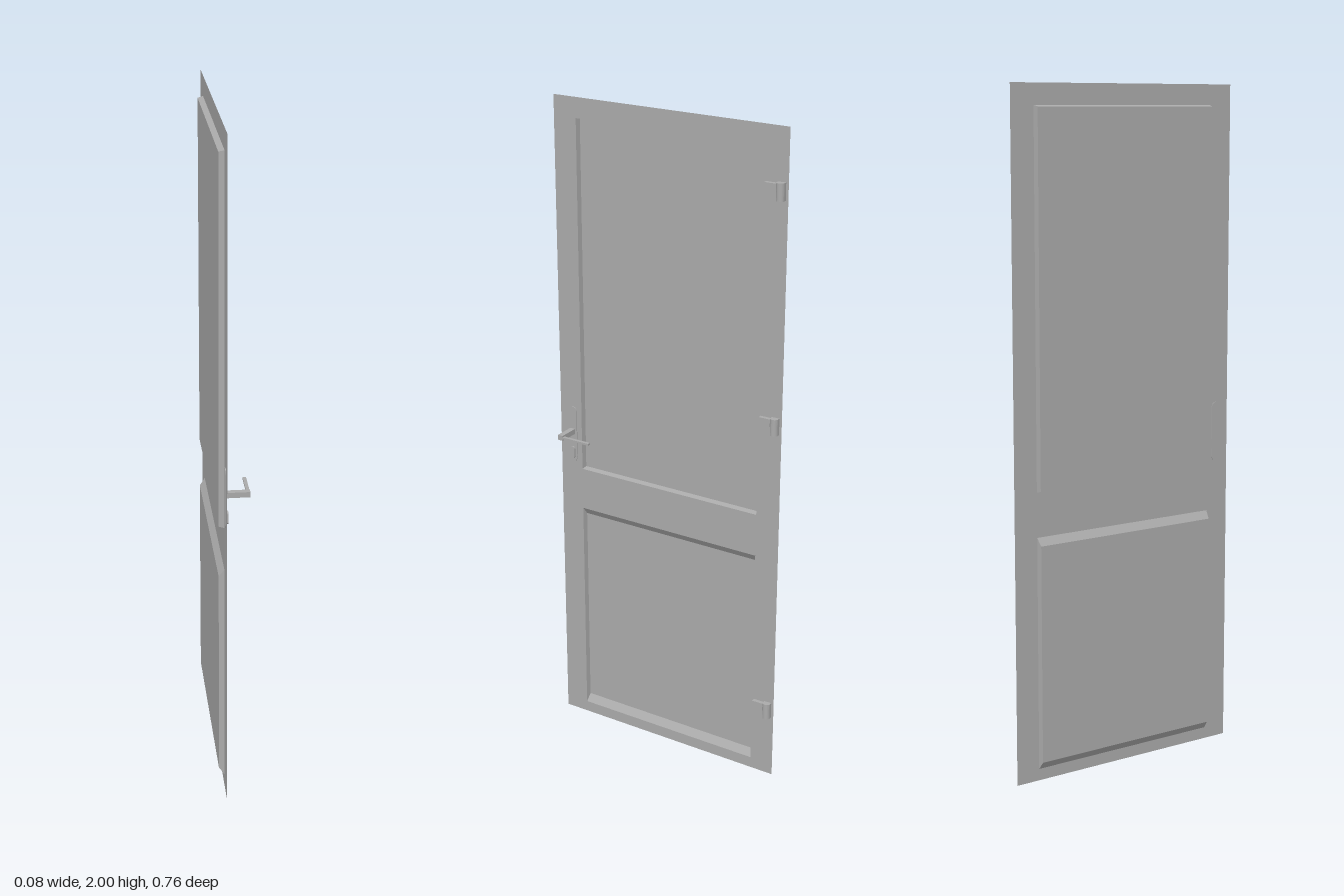
import * as THREE from 'three';

const FACE_X = -0.026, PANEL_X = -0.042;

export function createModel() {
  const door = new THREE.Group();
  door.name = 'door';
  const grey = new THREE.MeshStandardMaterial({ color: 0xaaaaaa, side: THREE.DoubleSide });
  grey.name = 'grey';

  const add = (name, geometry, parent = door) => {
    const mesh = new THREE.Mesh(geometry, grey);
    mesh.name = name;
    parent.add(mesh);
    return mesh;
  };
  // box from its limits on each axis
  const box = (name, x0, x1, y0, y1, z0, z1, parent) =>
    add(name, new THREE.BoxGeometry(x1 - x0, y1 - y0, z1 - z0), parent)
      .position.set((x0 + x1) / 2, (y0 + y1) / 2, (z0 + z1) / 2);

  // openings in the leaf: half width, bottom, top, and slope insets
  const panels = [
    { name: 'upperPanel', w: 0.305, y0: 0.86, y1: 1.94, sideInset: 0.003, endInset: 0.004 },
    { name: 'lowerPanel', w: 0.305, y0: 0.035, y1: 0.728, sideInset: 0.003, endInset: 0.023 },
  ];
  const trace = (path, w, y0, y1) =>
    path.moveTo(-w, y0).lineTo(w, y0).lineTo(w, y1).lineTo(-w, y1).closePath();

  // flat leaf with two openings, turned to face +x
  const leaf = new THREE.Shape();
  trace(leaf, 0.38, 0, 2);
  for (const p of panels) {
    const hole = new THREE.Path();
    trace(hole, p.w, p.y0, p.y1);
    leaf.holes.push(hole);
  }
  add('leaf', new THREE.ShapeGeometry(leaf).rotateY(Math.PI / 2)).position.x = FACE_X;

  // recessed panels: four sloping sides and a floor
  for (const { name, w, y0, y1, sideInset, endInset } of panels) {
    const ring = (x, s, e) => [
      [x, y0 + e, w - s], [x, y0 + e, -w + s], [x, y1 - e, -w + s], [x, y1 - e, w - s],
    ];
    const outer = ring(FACE_X, 0, 0), inner = ring(PANEL_X, sideInset, endInset);
    const points = [];
    const quad = (a, b, c, d) => points.push(...a, ...b, ...c, ...a, ...c, ...d);
    quad(...inner);
    for (let i = 0; i < 4; i++) {
      const j = (i + 1) % 4;
      quad(outer[i], outer[j], inner[j], inner[i]);
    }
    const geometry = new THREE.BufferGeometry();
    geometry.setAttribute('position', new THREE.Float32BufferAttribute(points, 3));
    geometry.computeVertexNormals();
    add(name, geometry);
  }

  // rounded plates of the lock
  const roundedPlate = (name, halfWidth, y0, y1, x0, x1) => {
    const shape = new THREE.Shape();
    shape.absarc(0, y1 - halfWidth, halfWidth, 0, Math.PI);
    shape.absarc(0, y0 + halfWidth, halfWidth, Math.PI, Math.PI * 2);
    const geometry = new THREE.ExtrudeGeometry(shape, { depth: x1 - x0, bevelEnabled: false, curveSegments: 8 });
    add(name, geometry.rotateY(Math.PI / 2)).position.set(x0, 0, 0.337);
  };
  roundedPlate('handlePlate', 0.015, 0.88, 1.06, -0.028, -0.0235);
  roundedPlate('lockCylinder', 0.008, 0.89, 0.93, -0.028, -0.019);

  // lever handle
  const handle = new THREE.Group();
  handle.name = 'handle';
  door.add(handle);
  box('handleNeck', FACE_X, 0.042, 0.972, 0.988, 0.328, 0.345, handle);
  box('handleLever', 0.032, 0.042, 0.977, 0.983, 0.235, 0.328, handle);

  // hinges: a half-round knuckle with a narrow leaf
  for (const y of [0.2, 1.125, 1.8]) {
    const hinge = new THREE.Group();
    hinge.name = 'hinge';
    hinge.position.y = y;
    door.add(hinge);
    const profile = new THREE.Shape();
    profile.moveTo(FACE_X, 0.348).lineTo(-0.019, 0.348);
    profile.absarc(-0.019, 0.36, 0.012, -Math.PI / 2, Math.PI / 2);
    profile.lineTo(FACE_X, 0.372).closePath();
    const knuckle = new THREE.ExtrudeGeometry(profile, { depth: 0.05, bevelEnabled: false, curveSegments: 10 });
    add('hingeKnuckle', knuckle.rotateX(-Math.PI / 2), hinge);
    box('hingeLeaf', FACE_X, -0.014, 0.023, 0.046, -0.348, -0.312, hinge);
  }
  return door;
}
